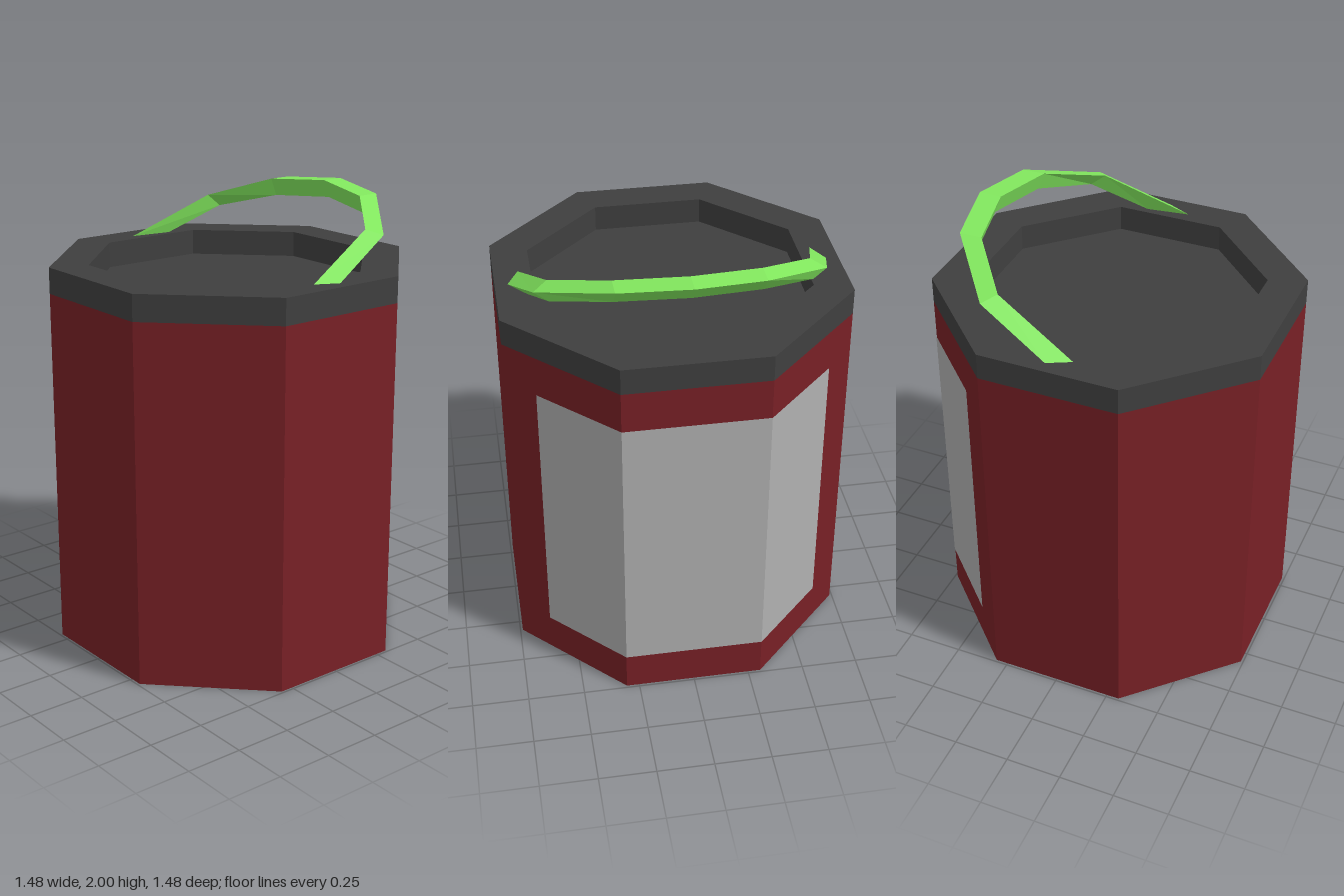
import * as THREE from 'three';

const R = 0.8;        // octagon corner radius
const RIM = 0.628;    // corner radius of the lid recess
const BODY_TOP = 1.605, TOP = 1.72;

const mat = (color) => new THREE.MeshStandardMaterial({ color, flatShading: true });

function part(name, geometry, color) {
  const mesh = new THREE.Mesh(geometry, mat(color));
  mesh.name = name;
  return mesh;
}

// Eight-sided turned shape with flat sides facing the axes
function octagon(profile) {
  const points = profile.map(([r, y]) => new THREE.Vector2(r, y));
  return new THREE.LatheGeometry(points, 8, Math.PI / 8);
}

// Skin a row of cross-sections; closed sections wrap round
function loft(rings, closed) {
  const pos = [];
  const n = rings[0].length;
  for (let i = 0; i < rings.length - 1; i++) {
    for (let k = 0; k < (closed ? n : n - 1); k++) {
      const m = (k + 1) % n;
      const a = rings[i][k], b = rings[i][m], c = rings[i + 1][m], d = rings[i + 1][k];
      pos.push(...a, ...b, ...c, ...a, ...c, ...d);
    }
  }
  const g = new THREE.BufferGeometry();
  g.setAttribute('position', new THREE.Float32BufferAttribute(pos, 3));
  g.computeVertexNormals();
  return g;
}

export function createModel() {
  const group = new THREE.Group();
  group.name = 'bucket';

  group.add(part('body', octagon([[0, 0], [R, 0], [R, BODY_TOP]]), 0x782026));

  // Lid with a sunken centre
  group.add(part('lid', octagon([
    [R, BODY_TOP], [R, TOP], [RIM, TOP], [RIM, BODY_TOP], [0, BODY_TOP],
  ]), 0x3f3f3f));

  // Label wrapped round three sides, just proud of the body
  const e = 0.003;
  const path = [[0.43 + e, 0.616], [0.739 + e, 0.306], [0.739 + e, -0.306], [0.43 + e, -0.616]];
  const low = path.map(([x, z]) => [x, 0.18, z]);
  const high = path.map(([x, z]) => [x, 1.425, z]);
  group.add(part('label', loft([low, high], false), 0xb0b0b0));

  // Leaning handle of triangular section, mirrored front to back
  const half = [
    [[-0.07, TOP, 0.635], [0.03, TOP, 0.685], [0.12, TOP, 0.61]],
    [[0.30, 1.887, 0.54], [0.35, 1.865, 0.60], [0.37, 1.83, 0.54]],
    [[0.49, 1.975, 0.30], [0.59, 1.975, 0.30], [0.52, 1.895, 0.30]],
  ];
  const middle = [[0.55, 2, 0], [0.65, 2, 0], [0.58, 1.92, 0]];
  const mirrored = half.map((ring) => ring.map(([x, y, z]) => [x, y, -z])).reverse();
  group.add(part('handle', loft([...half, middle, ...mirrored], true), 0x82e85e));

  return group;
}
